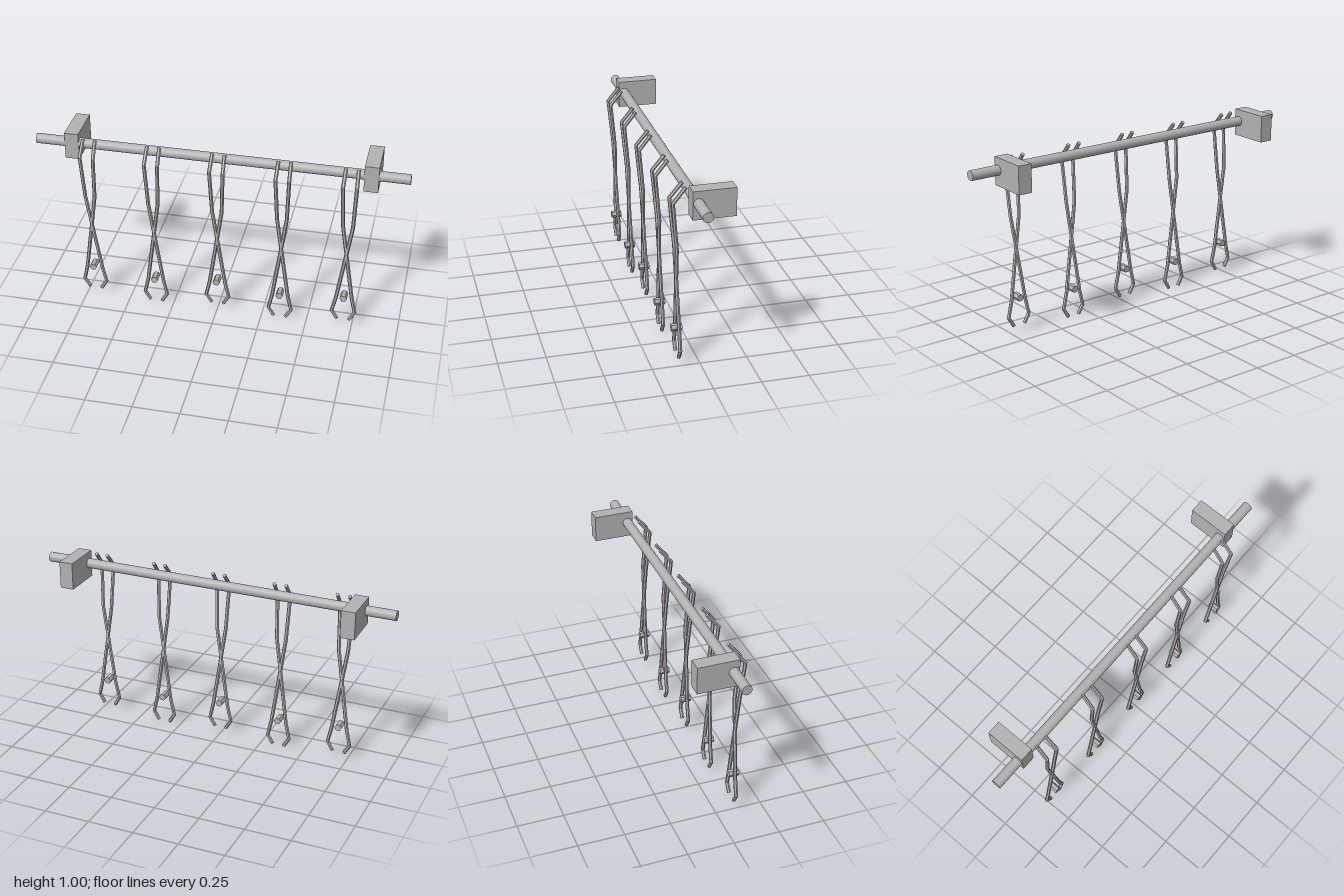
import * as THREE from 'three';

const metal = new THREE.MeshStandardMaterial({ color: 0xb2b2b2 });
metal.name = 'grey metal';

// Flat facets through unshared vertices
function faceted(geometry) {
  const g = geometry.toNonIndexed();
  g.computeVertexNormals();
  return g;
}

function addPart(parent, name, geometry, x = 0, y = 0, z = 0) {
  const mesh = new THREE.Mesh(geometry, metal);
  mesh.name = name;
  mesh.position.set(x, y, z);
  parent.add(mesh);
  return mesh;
}

// Six-sided capped bar whose rings follow the bends of a path, top to bottom
function bentBar(path, radius) {
  const last = path.length - 1;
  const geometry = new THREE.CylinderGeometry(radius, radius, last, 6, last, false, Math.PI / 6);
  const frames = path.map((p, i) => {
    const up = new THREE.Vector3();
    if (i > 0) up.add(path[i - 1].clone().sub(p).normalize());
    if (i < last) up.add(p.clone().sub(path[i + 1]).normalize());
    up.normalize();
    const ez = new THREE.Vector3(1, 0, 0).cross(up).normalize();
    return { ex: up.clone().cross(ez), ez };
  });
  const pos = geometry.attributes.position;
  const v = new THREE.Vector3();
  for (let k = 0; k < pos.count; k++) {
    const i = Math.round(last / 2 - pos.getY(k));
    const { ex, ez } = frames[i];
    v.copy(path[i]).addScaledVector(ex, pos.getX(k)).addScaledVector(ez, pos.getZ(k));
    pos.setXYZ(k, v.x, v.y, v.z);
  }
  return faceted(geometry);
}

// Two crossing arms with hooked handles and curved jaws, joined by a rivet
function makeTongs(drop) {
  const tongs = new THREE.Group();
  tongs.name = 'tongs';
  for (const side of [-1, 1]) {
    const path = [
      [0.033, 0.98, 0.077],
      [0.036, 0.902, 0.141],
      [0.026, 0.65, 0.118],
      [-0.043, 0.18 - drop, 0.107],
      [-0.063, 0.09 - drop, 0.107],
      [-0.033, 0.04 - drop, 0.107],
    ].map(([x, y, z]) => new THREE.Vector3(side * x, y, z));
    addPart(tongs, side < 0 ? 'rightArm' : 'leftArm', bentBar(path, 0.0105));
  }
  const rivet = new THREE.CylinderGeometry(0.02, 0.02, 0.056, 6, 1, false, Math.PI / 6);
  rivet.rotateX(Math.PI / 2);
  addPart(tongs, 'rivet', faceted(rivet), 0, 0.198 - drop, 0.112);
  return tongs;
}

export function createModel() {
  const model = new THREE.Group();
  model.name = 'tongsRack';

  // Hanging rail
  const rail = new THREE.CylinderGeometry(0.027, 0.027, 2, 24);
  rail.rotateZ(Math.PI / 2);
  addPart(model, 'rail', rail, 0, 0.935, 0.04);

  // Wall brackets
  for (const side of [-1, 1]) {
    addPart(model, side < 0 ? 'rightBracket' : 'leftBracket',
      new THREE.BoxGeometry(0.076, 0.15, 0.22), side * 0.8, 0.925, -0.04);
  }

  // Row of tongs, every second pair slightly longer
  for (let i = 0; i < 5; i++) {
    const tongs = makeTongs(i % 2 ? 0.036 : 0);
    tongs.position.x = (i - 2) * 0.35;
    model.add(tongs);
  }
  return model;
}
